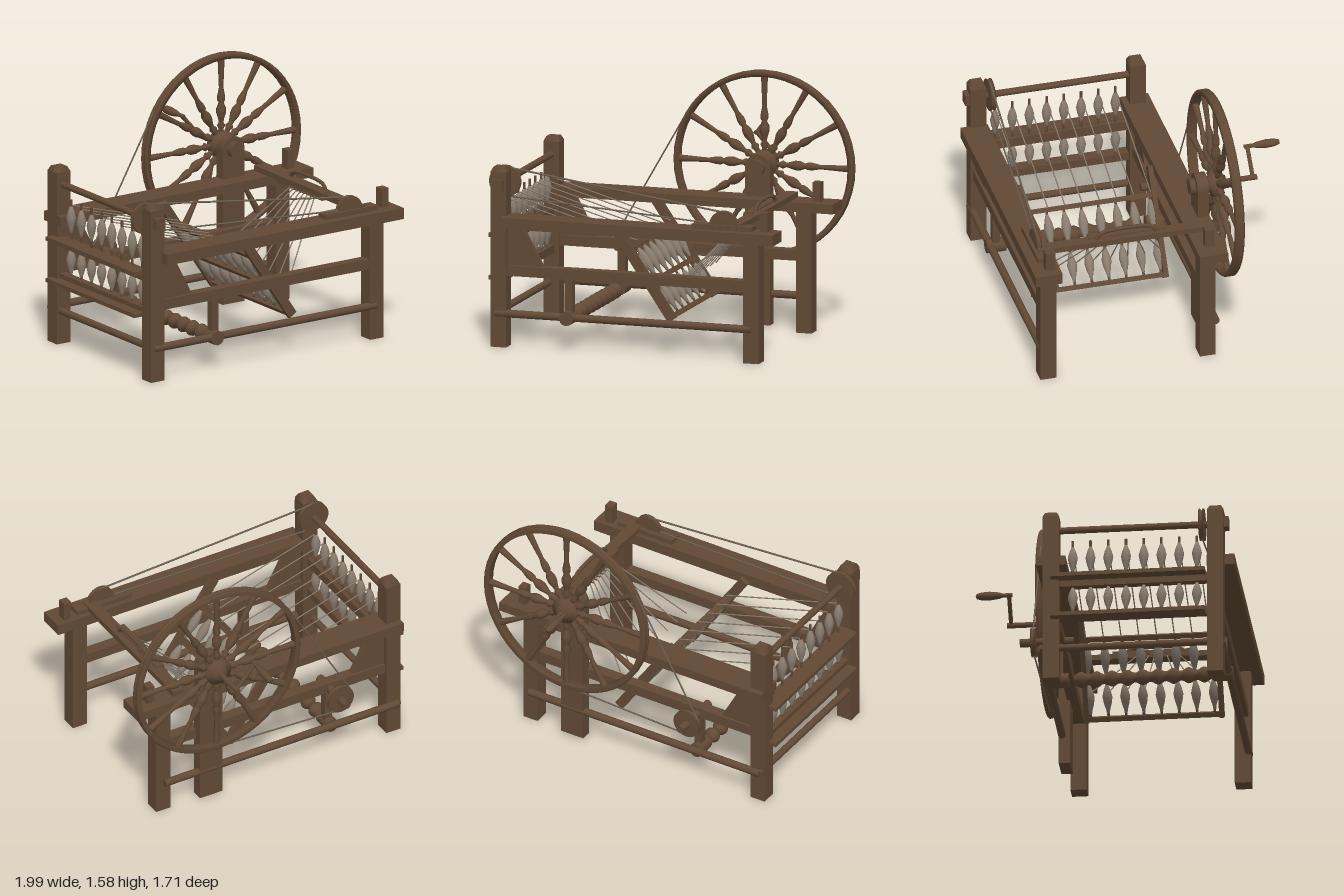
import * as THREE from 'three';

const wood = new THREE.MeshStandardMaterial({ color: 0x614935 });
wood.name = 'brown wood';
const yarn = new THREE.MeshStandardMaterial({ color: 0x8a7d6f });
yarn.name = 'spun yarn';
const cord = new THREE.MeshStandardMaterial({ color: 0x6b6052 });
cord.name = 'drive cord';

export function createModel() {
  const root = new THREE.Group();
  root.name = 'spinningFrame';
  const V = (x, y, z) => new THREE.Vector3(x, y, z);
  const UP = V(0, 1, 0);

  const add = (name, geo, mat = wood, parent = root) => {
    const m = new THREE.Mesh(geo, mat);
    m.name = name;
    parent.add(m);
    return m;
  };
  const box = (name, x0, x1, y0, y1, z0, z1) => {
    const m = add(name, new THREE.BoxGeometry(x1 - x0, y1 - y0, z1 - z0));
    m.position.set((x0 + x1) / 2, (y0 + y1) / 2, (z0 + z1) / 2);
    return m;
  };
  const aim = (m, a, b) => {
    m.quaternion.setFromUnitVectors(UP, b.clone().sub(a).normalize());
    return m;
  };
  const rod = (name, a, b, r, mat = wood, sides = 14) => {
    const m = add(name, new THREE.CylinderGeometry(r, r, a.distanceTo(b), sides), mat);
    m.position.copy(a).add(b).multiplyScalar(0.5);
    return aim(m, a, b);
  };
  // Turned part: profile of [radius, distance from a] pairs along a -> b
  const turned = (name, profile, a, b, mat = wood, sides = 14) => {
    const m = add(name, new THREE.LatheGeometry(profile.map(p => new THREE.Vector2(...p)), sides), mat);
    m.position.copy(a);
    return aim(m, a, b);
  };
  // Grooved disc standing in the xy plane
  const pulley = (name, x, y, z, r, t) => turned(name,
    [[0, -t], [r, -t], [r, -t * 0.6], [r - 0.012, 0], [r, t * 0.6], [r, t], [0, t]],
    V(x, y, z), V(x, y, z + 1), wood, 24);

  // Corner posts with chamfered tops and tenons
  for (const [side, z] of [['front', 0.74], ['back', -0.27]]) {
    box(side + 'TallPost', -0.95, -0.85, 0, 1.09, z - 0.05, z + 0.05);
    const cap = add(side + 'PostCap', new THREE.CylinderGeometry(0.05, 0.0707, 0.03, 4, 1).rotateY(Math.PI / 4));
    cap.position.set(-0.9, 1.105, z);
    box(side + 'ShortPost', 0.68, 0.78, 0, 0.76, z - 0.05, z + 0.05);
    box(side + 'Tenon', 0.78, 0.83, 0.76, 0.94, z - 0.03, z + 0.03);
    box(side + 'MidRail', -0.88, 0.70, 0.445, 0.51, z - 0.035, z + 0.035);
    box(side + 'RollerHanger', -0.48, -0.43, 0.18, 0.46, z - 0.025, z + 0.025);
    // Sloped corner gusset
    const s = new THREE.Shape([[-0.86, 0.5], [-0.62, 0.5], [-0.76, 0.76], [-0.86, 0.76]].map(p => new THREE.Vector2(...p)));
    add(side + 'Gusset', new THREE.ExtrudeGeometry(s, { depth: 0.04, bevelEnabled: false })).position.z = z - 0.02;
  }
  box('frontTopRail', -0.87, 0.89, 0.75, 0.82, 0.68, 0.85);
  box('backTopRail', -0.95, 0.93, 0.76, 0.82, -0.36, -0.18);
  for (const [n, z] of [['front', 0.775], ['back', -0.335]])
    rod(n + 'LowerRail', V(-0.925, 0.21, z), V(0.73, 0.21, z), 0.024);

  // Shelves at the spindle end
  box('upperShelf', -1, -0.91, 0.66, 0.685, -0.27, 0.68);
  box('upperShelfBeam', -0.93, -0.88, 0.62, 0.68, -0.25, 0.72);
  box('lowerShelf', -1, -0.91, 0.395, 0.42, -0.27, 0.68);
  box('lowerShelfBeam', -0.93, -0.88, 0.40, 0.45, -0.25, 0.72);
  rod('endStretcher', V(-0.92, 0.21, -0.34), V(-0.92, 0.21, 0.78), 0.022);

  // Top shaft with its pulley and square end blocks
  rod('topShaft', V(-0.9, 1.01, -0.3), V(-0.9, 1.01, 0.81), 0.021);
  pulley('topShaftPulley', -0.9, 1.01, 0.655, 0.1, 0.016);
  box('shaftEndBlock', -0.935, -0.865, 0.975, 1.045, 0.78, 0.82);

  // Wavy roller
  const wave = [[0, 0]];
  for (let i = 0; i <= 64; i++) wave.push([0.04 - 0.01 * Math.cos(i / 64 * Math.PI * 18), i / 64 * 0.85]);
  wave.push([0, 0.85]);
  turned('wavyRoller', wave, V(-0.46, 0.205, -0.18), V(-0.46, 0.205, 1));
  for (const z of [-0.27, 0.74])
    rod('rollerBearing', V(-0.46, 0.205, z - 0.06), V(-0.46, 0.205, z + 0.06), 0.045);

  // Small driven pulley
  rod('pulleyShaft', V(-0.46, 0.47, -0.51), V(-0.46, 0.47, -0.18), 0.026);
  pulley('drivenPulley', -0.46, 0.47, -0.425, 0.09, 0.016);

  // Leaning bobbin rack
  const P = (t, z) => V(-0.2 + 0.38 * t, 0.78 - 0.56 * t, z);
  const slope = Math.atan2(0.38, 0.56);
  for (const z of [-0.165, 0.665]) {
    const bar = add('rackSide', new THREE.BoxGeometry(0.06, 0.69, 0.03));
    bar.position.copy(P(0.5, z));
    bar.rotation.z = slope;
  }
  for (const t of [0.25, 0.62, 0.98]) {
    const bar = add('rackCrossbar', new THREE.BoxGeometry(0.045, 0.03, 0.86));
    bar.position.copy(P(t, 0.25));
    bar.rotation.z = slope;
  }

  // Spindles, bobbins and threads, eight of each
  const cop = L => [[0, 0], [0.009, 0], [0.012, L * 0.12], [0.024, L * 0.35], [0.031, L * 0.58], [0.022, L * 0.8], [0.009, L], [0, L]];
  const bobbin = (a, b, L) => {
    const d = b.clone().sub(a).normalize(), gap = (a.distanceTo(b) - L) / 2;
    rod('spindle', a, b, 0.008, wood, 8);
    turned('yarnBobbin', cop(L), a.clone().addScaledVector(d, gap), b, yarn, 10);
  };
  for (let i = 0; i < 8; i++) {
    const z = -0.14 + i * 0.109;
    bobbin(V(-0.9, 0.68, z), V(-0.9, 0.935, z), 0.17);
    bobbin(V(-0.9, 0.44, z), V(-0.9, 0.64, z), 0.16);
    bobbin(P(0.61, z), P(0.27, z), 0.2);
    bobbin(P(0.97, z), P(0.63, z), 0.18);
    rod('drawnThread', V(-0.89, 0.895, z), V(-0.1, 0.665, z - 0.006), 0.004, yarn, 5);
    const ze = 0.1 + i * 0.037;
    rod('fanThread', V(0.19, 0.42, z), V(0.565, 0.83, ze), 0.004, yarn, 5);
    rod('guidePin', V(0.535, 0.835, ze), V(0.59, 0.835, ze), 0.005, wood, 6);
  }

  // Carriage bar with grip
  box('carriageBar', 0.585, 0.66, 0.825, 0.86, -0.32, 0.77);
  box('threadClamp', 0.565, 0.62, 0.82, 0.868, -0.05, 0.44);
  const grip = new THREE.CatmullRomCurve3([V(0.625, 0.85, 0.4), V(0.625, 0.89, 0.375), V(0.625, 0.907, 0.33),
    V(0.625, 0.907, 0.08), V(0.625, 0.89, 0.035), V(0.625, 0.85, 0.01)], false, 'centripetal');
  add('carriageGrip', new THREE.TubeGeometry(grip, 32, 0.012, 8));

  // Half-sunk pulley on the front rail and its cord
  box('pulleyBase', 0.35, 0.735, 0.82, 0.85, 0.71, 0.795);
  pulley('railPulley', 0.545, 0.845, 0.757, 0.09, 0.016);
  rod('upperCord', V(-0.9, 1.1, 0.655), V(0.55, 0.925, 0.757), 0.006, cord, 6);
  rod('lowerCord', V(-0.9, 0.92, 0.655), V(0.5, 0.85, 0.757), 0.005, cord, 6);

  // Wheel support post with rounded head
  const head = new THREE.Shape();
  head.moveTo(0.33, 0.02);
  head.lineTo(0.49, 0.02);
  head.lineTo(0.49, 1);
  head.absarc(0.41, 1, 0.08, 0, Math.PI, false);
  head.lineTo(0.33, 0.02);
  add('wheelPost', new THREE.ExtrudeGeometry(head, { depth: 0.07, bevelEnabled: false })).position.z = -0.355;

  // Great wheel, centred on its own axis
  const wheel = new THREE.Group();
  wheel.name = 'greatWheel';
  wheel.position.set(0.41, 1, -0.42);
  root.add(wheel);
  const rim = [[0.545, -0.028], [0.572, -0.03], [0.58, -0.022], [0.58, -0.01], [0.568, 0], [0.58, 0.01],
    [0.58, 0.022], [0.572, 0.03], [0.545, 0.028], [0.545, -0.028]];
  const lathe = p => new THREE.LatheGeometry(p.map(q => new THREE.Vector2(...q)), 48);
  add('wheelRim', lathe(rim).rotateX(Math.PI / 2), wood, wheel);
  const hub = [[0, -0.06], [0.04, -0.06], [0.05, -0.035], [0.085, -0.03], [0.085, 0.03], [0.05, 0.04], [0.05, 0.07], [0, 0.07]];
  add('wheelHub', lathe(hub).rotateX(Math.PI / 2), wood, wheel);
  const spoke = [[0.016, 0.06], [0.016, 0.1], [0.026, 0.12], [0.014, 0.14], [0.018, 0.16], [0.03, 0.2], [0.03, 0.23],
    [0.016, 0.265], [0.024, 0.28], [0.024, 0.31], [0.014, 0.36], [0.018, 0.46], [0.022, 0.55]];
  const spokeGeo = new THREE.LatheGeometry(spoke.map(q => new THREE.Vector2(...q)), 12);
  for (let i = 0; i < 12; i++) add('spoke', spokeGeo, wood, wheel).rotation.z = i * Math.PI / 6;

  // Axle, boss and crank
  rod('axle', V(0.41, 1, -0.68), V(0.41, 1, -0.27), 0.017);
  rod('axleBoss', V(0.41, 1, -0.29), V(0.41, 1, -0.25), 0.05, wood, 20);
  rod('crankArm', V(0.41, 1, -0.655), V(0.28, 1.145, -0.655), 0.013);
  turned('crankHandle', [[0, -0.02], [0.013, -0.02], [0.013, 0.04], [0.02, 0.06], [0.027, 0.12], [0.024, 0.17], [0.015, 0.2], [0, 0.205]],
    V(0.28, 1.145, -0.655), V(0.28, 1.145, -1));

  // Drive belt runs tangent to the wheel and the small pulley
  for (const deg of [150, -87.4]) {
    const c = Math.cos(deg * Math.PI / 180), s = Math.sin(deg * Math.PI / 180);
    rod('driveBelt', V(0.41 + 0.578 * c, 1 + 0.578 * s, -0.422), V(-0.46 + 0.088 * c, 0.47 + 0.088 * s, -0.422), 0.005, cord, 6);
  }
  return root;
}
